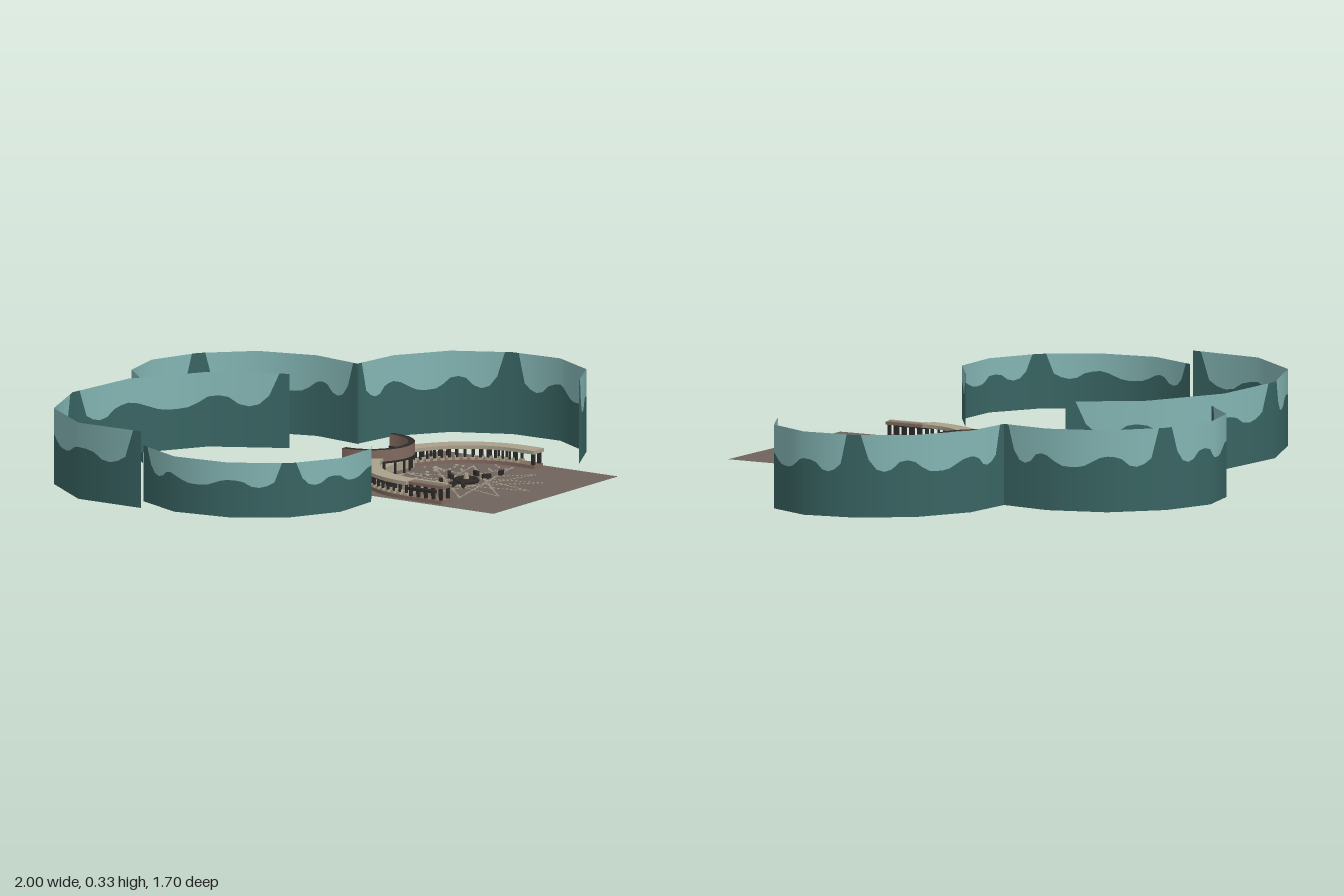
import * as THREE from 'three';
import { mergeGeometries } from 'three/addons/utils/BufferGeometryUtils.js';

const mat = (name, color, side = THREE.FrontSide) =>
  Object.assign(new THREE.MeshStandardMaterial({ color, side }), { name });
const darkTeal = mat('dark teal', 0x386462, THREE.DoubleSide);
const lightTeal = mat('light teal', 0x83b5b3, THREE.DoubleSide);
const paving = mat('paving brown', 0x70645c, THREE.DoubleSide);
const stone = mat('pale stone', 0xa9a08c);
const clay = mat('clay brown', 0x80695e);
const iron = mat('dark iron', 0x2d2a28);

const GROUND = 0.068, CX = 0.06, CZ = 0.49;

function add(parent, name, geometry, material, x = 0, y = 0, z = 0) {
  const m = new THREE.Mesh(geometry, material);
  m.name = name;
  m.position.set(x, y, z);
  parent.add(m);
  return m;
}

// Depth of the light treetop band below the wall's top edge, per half wall
const BAND = [0, 0, 0.36, 0.43, 0.46, 0.44, 0.36, 0.33, 0.32, 0.34, 0.39, 0.44,
  0.46, 0.46, 0.45, 0.4, 0.33, 0.31, 0.33, 0.42, 0.45, 0.42, 0.3, 0];

// Bent backdrop wall along a clockwise path; heights run from start to end
function backdrop(path, top, bottom) {
  const steps = 8, n = (path.length - 1) * steps;
  const edge = path.slice(1).map(([x, z], i) =>
    new THREE.Vector3(z - path[i][1], 0, path[i][0] - x).normalize());
  const corner = path.map((_, i) => {
    const a = edge[Math.max(i - 1, 0)], b = edge[Math.min(i, edge.length - 1)];
    return a.clone().add(b).normalize();
  });
  const pos = [], nor = [], dark = [], light = [];
  for (let i = 0; i <= n; i++) {
    const s = Math.min(Math.floor(i / steps), path.length - 2), f = i / steps - s, t = i / n;
    const x = THREE.MathUtils.lerp(path[s][0], path[s + 1][0], f);
    const z = THREE.MathUtils.lerp(path[s][1], path[s + 1][1], f);
    const y1 = THREE.MathUtils.lerp(top[0], top[1], t);
    const y0 = THREE.MathUtils.lerp(bottom[0], bottom[1], t);
    const nm = corner[s].clone().lerp(corner[s + 1], f).normalize();
    for (const y of [y0, y1 - BAND[i % BAND.length] * (y1 - y0), y1]) {
      pos.push(x, y, z);
      nor.push(nm.x, nm.y, nm.z);
    }
    if (i === n) continue;
    [dark, light].forEach((list, row) => {
      const a = i * 3 + row, b = a + 3;
      list.push(a, a + 1, b + 1, a, b + 1, b);
    });
  }
  const g = new THREE.BufferGeometry();
  g.setAttribute('position', new THREE.Float32BufferAttribute(pos, 3));
  g.setAttribute('normal', new THREE.Float32BufferAttribute(nor, 3));
  g.setIndex([...dark, ...light]);
  g.addGroup(0, dark.length, 0);
  g.addGroup(dark.length, light.length, 1);
  return g;
}

// Flat arc slab; angle 0 is +x, PI/2 is the back
function arcSlab(inner, outer, from, to, height) {
  const s = new THREE.Shape();
  s.absarc(0, 0, outer, from, to, false);
  s.absarc(0, 0, inner, to, from, true);
  return new THREE.ExtrudeGeometry(s, { depth: height, bevelEnabled: false, curveSegments: 20 })
    .rotateX(-Math.PI / 2);
}

function block(w, h, d, x, y, z, turn = 0) {
  return new THREE.BoxGeometry(w, h, d).rotateY(turn).translate(x, y, z);
}

export function createModel() {
  const model = new THREE.Group();
  model.name = 'plazaWithBackdrops';

  // Backdrop walls
  const walls = [
    ['leftFrontBackdrop', [[-0.375, 0.415], [-0.52, 0.515], [-0.7, 0.52], [-0.865, 0.43],
      [-0.975, 0.26], [-1, 0.06], [-0.92, -0.12]], [0.285, 0.288], [0.108, 0.1]],
    ['largeBackdrop', [[-0.92, -0.13], [-0.915, -0.385], [-0.765, -0.59], [-0.515, -0.69],
      [-0.225, -0.67], [0.025, -0.525], [0.165, -0.295]], [0.334, 0.316], [0.076, 0.066]],
    ['backBackdrop', [[-0.12, -0.685], [0, -0.815], [0.17, -0.855], [0.35, -0.795],
      [0.495, -0.655], [0.555, -0.46], [0.53, -0.275]], [0.296, 0.288], [0.018, 0.018]],
    ['rightBackdrop', [[0.53, -0.28], [0.71, -0.26], [0.88, -0.15], [0.98, 0.03],
      [0.995, 0.21], [0.91, 0.375], [0.755, 0.455]], [0.288, 0.283], [0.018, 0.002]],
  ];
  for (const [name, path, top, bottom] of walls)
    add(model, name, backdrop(path, top, bottom), [darkTeal, lightTeal]);

  // Square paving
  add(model, 'paving', new THREE.PlaneGeometry(0.715, 0.715).rotateX(-Math.PI / 2),
    paving, CX, GROUND, 0.4925);

  const plaza = new THREE.Group();
  plaza.name = 'plaza';
  plaza.position.set(CX, GROUND, CZ);
  model.add(plaza);

  // Dotted twelve-pointed star
  const dots = [];
  const tip = k => [0.25 * Math.sin(k * Math.PI / 6), 0.25 * Math.cos(k * Math.PI / 6)];
  for (let k = 0; k < 12; k++) {
    const [ax, az] = tip(k), [bx, bz] = tip(k + 5);
    for (let i = 0; i < 32; i++) {
      const t = i / 32;
      dots.push(block(0.006, 0.003, 0.006, ax + (bx - ax) * t, 0.0005, az + (bz - az) * t));
    }
  }
  add(plaza, 'starDots', mergeGeometries(dots), stone);

  // Curved colonnade in two wings
  const posts = [], plinths = [];
  for (const [side, from, to] of [['left', 0, 0.4 * Math.PI], ['right', 0.6 * Math.PI, Math.PI]]) {
    add(plaza, side + 'Roof', arcSlab(0.285, 0.345, from, to, 0.012), stone, 0, 0.05, 0);
    add(plaza, side + 'Base', arcSlab(0.292, 0.338, from, to, 0.012), clay);
    for (let i = 0; i <= 14; i++) {
      const a = from + (to - from) * (0.02 + 0.96 * i / 14);
      for (const r of [0.298, 0.33]) {
        const x = r * Math.cos(a), z = -r * Math.sin(a);
        posts.push(new THREE.CylinderGeometry(0.005, 0.005, 0.038, 6).translate(x, 0.031, z));
        plinths.push(block(0.014, 0.008, 0.014, x, 0.016, z, a));
      }
    }
  }
  add(plaza, 'colonnadePosts', mergeGeometries(posts), iron);
  add(plaza, 'colonnadePlinths', mergeGeometries(plinths), stone);
  add(plaza, 'backBench', arcSlab(0.285, 0.335, 0.4 * Math.PI, 0.6 * Math.PI, 0.025), stone);

  // End pavilions
  add(plaza, 'leftEndRoof', block(0.06, 0.012, 0.07, 0.315, 0.056, 0.035), stone);
  add(plaza, 'leftEndBase', block(0.05, 0.012, 0.07, 0.315, 0.006, 0.035), clay);
  add(plaza, 'rightEndBase', block(0.055, 0.012, 0.14, -0.312, 0.006, 0.07), clay);
  add(plaza, 'rightEndRoof', block(0.05, 0.01, 0.14, -0.307, 0.055, 0.07), clay);
  add(plaza, 'rightEndRidge', block(0.014, 0.005, 0.13, -0.3, 0.062, 0.07), stone);
  add(plaza, 'rightEndRail', block(0.016, 0.01, 0.11, -0.347, 0.042, 0.065), iron);
  const endPosts = [];
  for (let i = 0; i < 5; i++)
    for (const x of [-0.33, -0.29])
      endPosts.push(block(0.01, 0.04, 0.01, x, 0.031, 0.01 + 0.03 * i));
  for (const x of [0.298, 0.332])
    endPosts.push(block(0.01, 0.04, 0.01, x, 0.031, 0.06));
  add(plaza, 'endPosts', mergeGeometries(endPosts), iron);

  // Crescent screen on posts at the back, bulging towards the plaza
  const screen = new THREE.Group();
  screen.name = 'crescentScreen';
  screen.position.set(0, 0, 0.105 - CZ);
  plaza.add(screen);
  add(screen, 'screenWall', arcSlab(0.124, 0.146, 0.97 * Math.PI, 2.03 * Math.PI, 0.04),
    [iron, clay], 0, 0.05, 0);
  add(screen, 'screenTrim', arcSlab(0.12, 0.15, 0.97 * Math.PI, 2.03 * Math.PI, 0.006),
    iron, 0, 0.045, 0);
  const legs = [];
  for (let i = 0; i < 7; i++) {
    const a = Math.PI * (0.2 + 0.1 * i);
    legs.push(new THREE.CylinderGeometry(0.005, 0.005, 0.046, 6)
      .translate(0.135 * Math.cos(a), 0.023, 0.135 * Math.sin(a)));
  }
  add(screen, 'screenPosts', mergeGeometries(legs), iron);
  for (const s of [-1, 1])
    add(screen, 'screenBrace', block(0.007, 0.007, 0.06, 0, 0, 0), iron, s * 0.02, 0.05, 0.1)
      .rotation.y = s * 0.7;

  // Central fountain
  const ring = (r, t) => new THREE.TorusGeometry(r, t, 6, 24).rotateX(Math.PI / 2);
  add(plaza, 'fountainRim', ring(0.036, 0.008), iron, 0, 0.006, 0);
  add(plaza, 'fountainBasin', new THREE.CylinderGeometry(0.03, 0.03, 0.006, 24), stone, 0, 0.003, 0);
  add(plaza, 'fountainInnerRing', ring(0.018, 0.006), iron, 0, 0.008, 0);
  add(plaza, 'fountainColumn', new THREE.CylinderGeometry(0.007, 0.01, 0.03, 10), stone, 0, 0.015, 0);

  // Benches and small figures around the fountain
  const items = [[0.03, -0.09, 0.05, 0.6], [0.012, -0.07, 0.03, 0.9], [-0.085, 0.005, 0.035, 0.1],
    [-0.075, 0.04, 0.03, 0.5], [0.08, 0.025, 0.03, -0.6], [0.1, -0.03, 0.025, 1.1],
    [0.155, 0.03, 0.025, 0.3], [-0.06, -0.06, 0.02, 0.7]];
  add(plaza, 'benches', mergeGeometries(items.map(([x, z, l, a]) =>
    block(l, 0.016, 0.012, x, 0.008, z, a))), iron);

  // Scattered stepping stones in the back half
  let seed = 7;
  const rnd = () => (seed = (seed * 16807) % 2147483647) / 2147483647;
  const stones = [];
  for (let i = 0; i < 45; i++) {
    const a = Math.PI * rnd(), r = 0.16 + 0.11 * rnd(), w = 0.004 + 0.003 * rnd();
    stones.push(new THREE.CylinderGeometry(w, w, 0.004, 7)
      .translate(r * Math.cos(a), 0.002, -r * Math.sin(a)));
  }
  add(plaza, 'steppingStones', mergeGeometries(stones), stone);

  return model;
}
